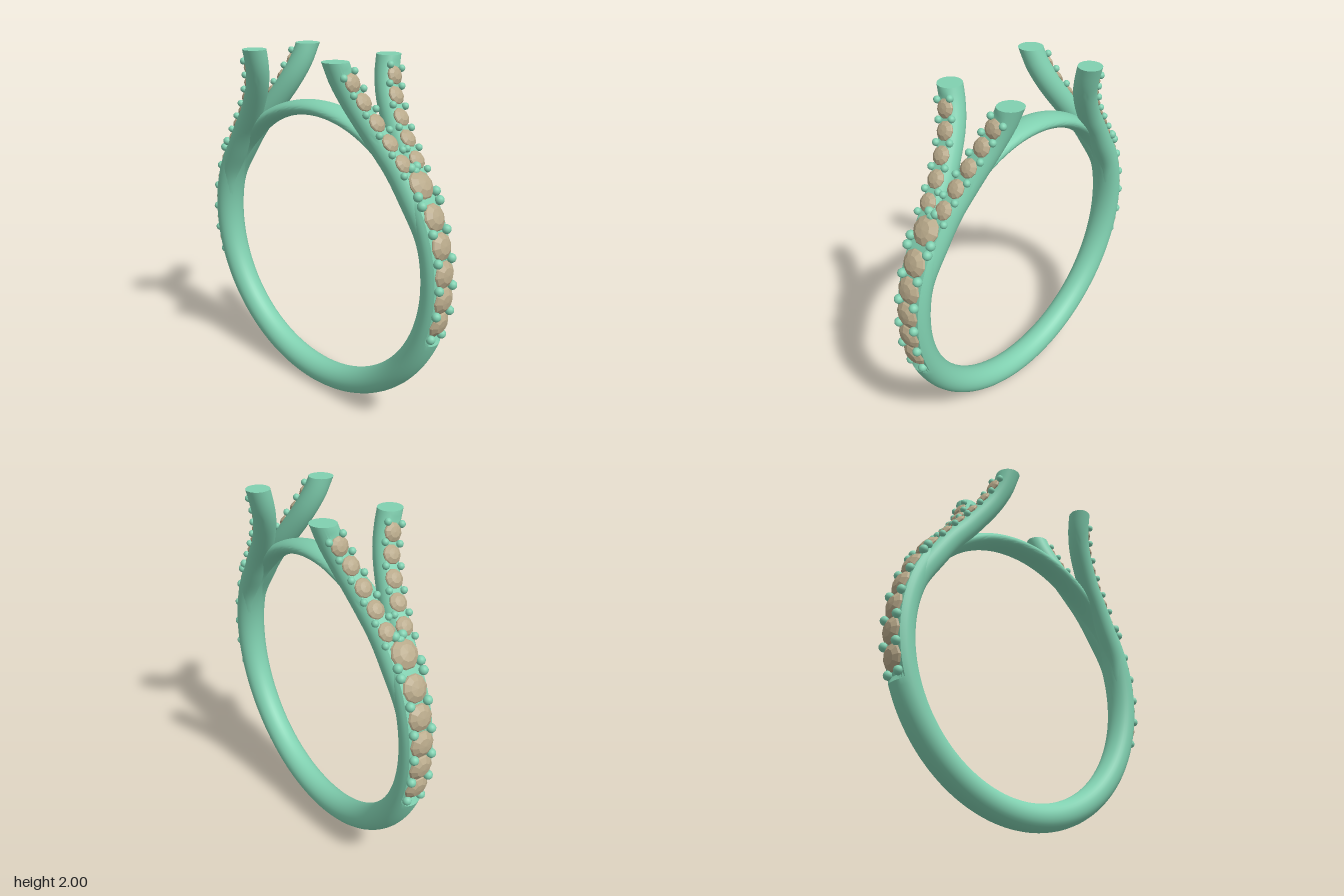
import * as THREE from 'three';
import { toCreasedNormals } from 'three/addons/utils/BufferGeometryUtils.js';

const V = (x, y, z) => new THREE.Vector3(x, y, z);
const metal = new THREE.MeshStandardMaterial({ color: 0x80d0b0 });
const stone = new THREE.MeshStandardMaterial({ color: 0xb8a98a, flatShading: true });
const CENTER_Y = 0.905, INNER = 0.752, SIDES = 32;
const smooth = THREE.MathUtils.smoothstep, lerp = THREE.MathUtils.lerp, rad = THREE.MathUtils.degToRad;

// Skin a row of equal-length rings, optionally capping the last one
function loft(rings, cap) {
  const pos = [], idx = [], n = rings[0].length;
  rings.forEach(r => r.forEach(p => pos.push(p.x, p.y, p.z)));
  for (let i = 0; i < rings.length - 1; i++) {
    for (let j = 0; j < n; j++) {
      const a = i * n + j, b = i * n + (j + 1) % n;
      idx.push(a, b, a + n, b, b + n, a + n);
    }
  }
  if (cap) {
    const last = rings.at(-1), c = V(0, 0, 0);
    last.forEach(p => c.addScaledVector(p, 1 / n));
    pos.push(c.x, c.y, c.z);
    const base = (rings.length - 1) * n, mid = rings.length * n;
    for (let j = 0; j < n; j++) idx.push(mid, base + j, base + (j + 1) % n);
  }
  const g = new THREE.BufferGeometry();
  g.setAttribute('position', new THREE.Float32BufferAttribute(pos, 3));
  g.setIndex(idx);
  return toCreasedNormals(g, 0.5);
}

// Elliptical section in frame f, planed flat beyond "flat" on the outer side
function section(f, rn, rb, flat = Infinity) {
  return Array.from({ length: SIDES }, (_, j) => {
    const a = j / SIDES * Math.PI * 2;
    return f.p.clone().addScaledVector(f.n, Math.min(rn * Math.cos(a), flat)).addScaledVector(f.b, rb * Math.sin(a));
  });
}

// Frame on the circular band: p position, t along, n outward, b across
function bandFrame(a, r) {
  const n = V(Math.cos(a), Math.sin(a), 0), t = V(-n.y, n.x, 0);
  return { p: V(n.x * r, CENTER_Y + n.y * r, 0), t, n, b: V(0, 0, -1) };
}

function bandGeometry() {
  const rings = [];
  for (let i = 0; i <= 180; i++) {
    const a = rad(i * 2), s = Math.sin(a), deg = THREE.MathUtils.radToDeg(Math.asin(s));
    const top = smooth(deg, 27, 56);
    const half = lerp(0.0765, 0.041, top);
    const width = lerp(lerp(0.08, 0.09, smooth(deg, -60, 20)), 0.08, top);
    const mid = INNER + half;
    rings.push(section(bandFrame(a, mid), half, width, deg > -19.5 ? 0.874 - mid : Infinity));
  }
  return loft(rings);
}

// Centre line of one split arm
function armCurve(sz) {
  return new THREE.CatmullRomCurve3([
    [0.81, 1.0, 0.02], [0.766, 1.186, 0.028], [0.665, 1.37, 0.04], [0.58, 1.5, 0.053], [0.485, 1.62, 0.075],
    [0.36, 1.81, 0.13], [0.315, 1.92, 0.17], [0.3, 2.0, 0.197],
  ].map(([x, y, z]) => V(x, y, z * sz)));
}

function armFrame(curve, u) {
  const t = curve.getTangentAt(u), n = V(t.y, -t.x, 0).normalize();
  return { p: curve.getPointAt(u), t, n, b: t.clone().cross(n) };
}

function frameAtHeight(curve, y) {
  let lo = 0, hi = 1;
  for (let k = 0; k < 24; k++) {
    const m = (lo + hi) / 2;
    if (curve.getPointAt(m).y < y) lo = m; else hi = m;
  }
  return armFrame(curve, lo);
}

function armGeometry(curve) {
  const rings = [], N = 30;
  for (let i = 0; i <= N; i++) {
    const f = armFrame(curve, i / N), r = lerp(0.055, 0.065, smooth(i / N, 0, 0.35));
    const ring = section(f, r, r * 0.97, f.p.y < 1.95 ? 0.055 : Infinity);
    // Level cut at the tip
    if (i === N) ring.forEach(p => p.addScaledVector(f.t, (2 - p.y) / f.t.y));
    rings.push(ring);
  }
  return loft(rings, true);
}

// Faceted round stone of unit radius
const gemGeometry = new THREE.LatheGeometry(
  [[0, -0.6], [0.95, -0.15], [1, 0], [0.93, 0.12], [0.55, 0.36], [0, 0.42]].map(([x, y]) => new THREE.Vector2(x, y)), 10);
const beadGeometry = new THREE.SphereGeometry(1, 14, 10);

function addGem(group, f, height, r) {
  const m = new THREE.Mesh(gemGeometry, stone);
  m.name = 'gem';
  m.quaternion.setFromRotationMatrix(new THREE.Matrix4().makeBasis(f.t, f.n, f.b));
  m.position.copy(f.p).addScaledVector(f.n, height);
  m.scale.setScalar(r);
  group.add(m);
}

function addBeads(group, f, height, offset, r) {
  for (const s of [-1, 1]) {
    const m = new THREE.Mesh(beadGeometry, metal);
    m.name = 'prongBead';
    m.position.copy(f.p).addScaledVector(f.n, height).addScaledVector(f.b, s * offset);
    m.scale.setScalar(r);
    group.add(m);
  }
}

// One shoulder: large stones on the band, then two arms with small stones
function shoulder(name) {
  const g = new THREE.Group();
  g.name = name;
  [-12.1, -2.8, 6.5, 16, 25.7, 37].forEach((d, i) => addGem(g, bandFrame(rad(d), 0.875), 0, i === 5 ? 0.079 : 0.073));
  [[-17.2, 0.045], [-7.5, 0.055], [1.9, 0.055], [11.2, 0.055], [20.8, 0.055], [30.3, 0.07], [33.5, 0.07], [43, 0.022]]
    .forEach(([d, z]) => addBeads(g, bandFrame(rad(d), 0.884), 0, z, 0.025));
  for (const sz of [1, -1]) {
    const arm = new THREE.Group(), curve = armCurve(sz);
    arm.name = sz > 0 ? 'armA' : 'armB';
    const tube = new THREE.Mesh(armGeometry(curve), metal);
    tube.name = 'armTube';
    arm.add(tube);
    [1.885, 1.785, 1.685, 1.59, 1.5].forEach(y => addGem(arm, frameAtHeight(curve, y), 0.056, 0.05));
    [1.93, 1.835, 1.735, 1.637, 1.545, 1.455].forEach(y => addBeads(arm, frameAtHeight(curve, y), 0.06, 0.043, 0.019));
    g.add(arm);
  }
  return g;
}

export function createModel() {
  const model = new THREE.Group();
  model.name = 'splitShankRing';
  const band = new THREE.Mesh(bandGeometry(), metal);
  band.name = 'band';
  const left = shoulder('leftShoulder'), right = shoulder('rightShoulder');
  right.rotation.y = Math.PI;
  model.add(band, left, right);
  return model;
}
